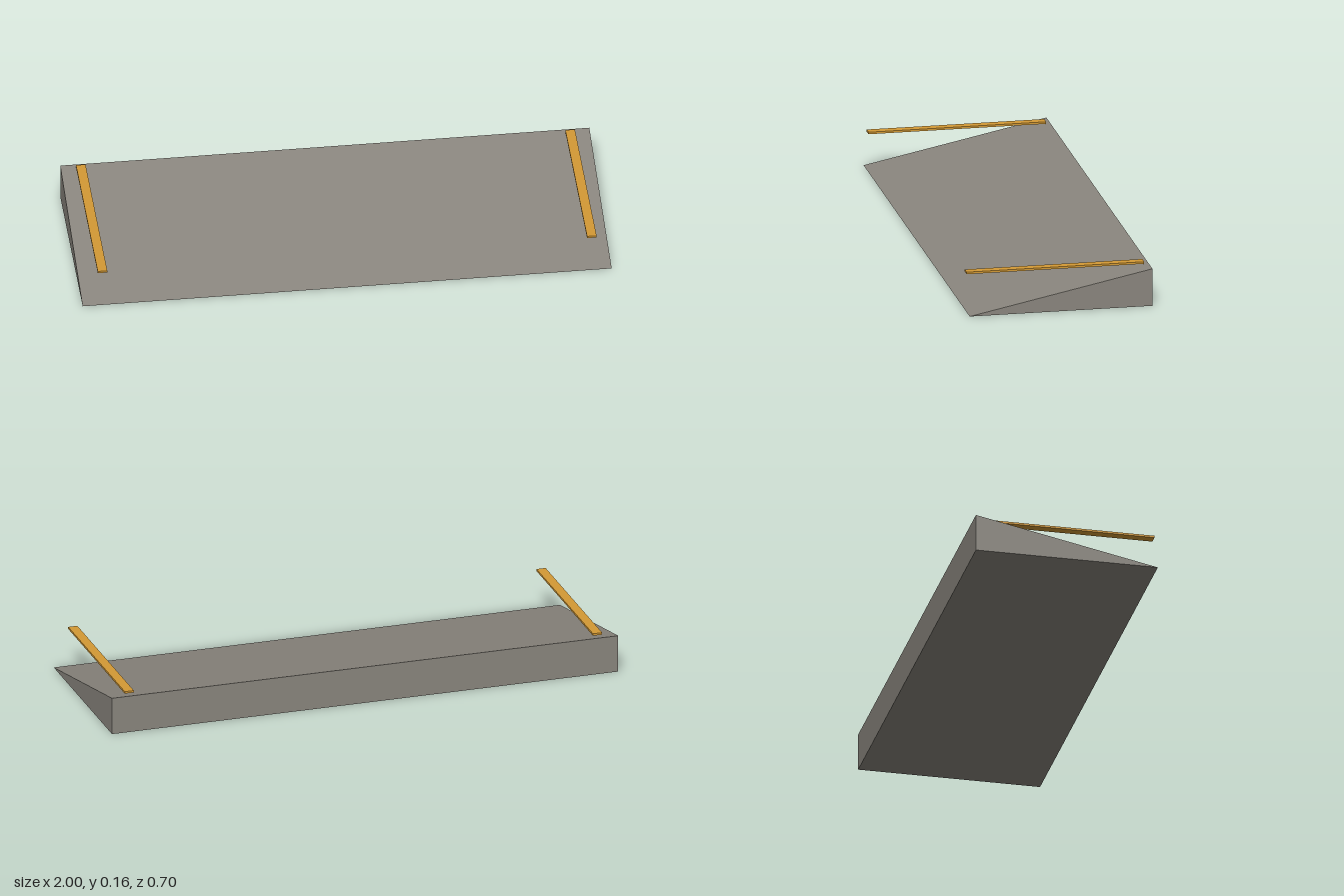
import * as THREE from 'three';

export function createModel() {
  const model = new THREE.Group();
  model.name = 'ramp';

  const concrete = new THREE.MeshStandardMaterial({ color: 0x8a867e });
  concrete.name = 'concrete grey';
  const amber = new THREE.MeshStandardMaterial({ color: 0xd49a35 });
  amber.name = 'amber';

  // Wedge: side profile drawn in (z, y), extruded across the width
  const profile = new THREE.Shape([
    new THREE.Vector2(0.35, 0),
    new THREE.Vector2(-0.35, 0.145),
    new THREE.Vector2(-0.35, 0),
  ]);
  const wedgeGeometry = new THREE.ExtrudeGeometry(profile, { depth: 2, bevelEnabled: false });
  wedgeGeometry.translate(0, 0, -1).rotateY(-Math.PI / 2);
  const wedge = new THREE.Mesh(wedgeGeometry, concrete);
  wedge.name = 'wedge';
  model.add(wedge);

  // Level edge strips above the slope, one on each side
  const stripGeometry = new THREE.BoxGeometry(0.036, 0.008, 0.68);
  for (const side of [-1, 1]) {
    const strip = new THREE.Mesh(stripGeometry, amber);
    strip.name = side > 0 ? 'leftEdgeStrip' : 'rightEdgeStrip';
    strip.position.set(side * 0.925, 0.153, 0.01);
    model.add(strip);
  }

  return model;
}
